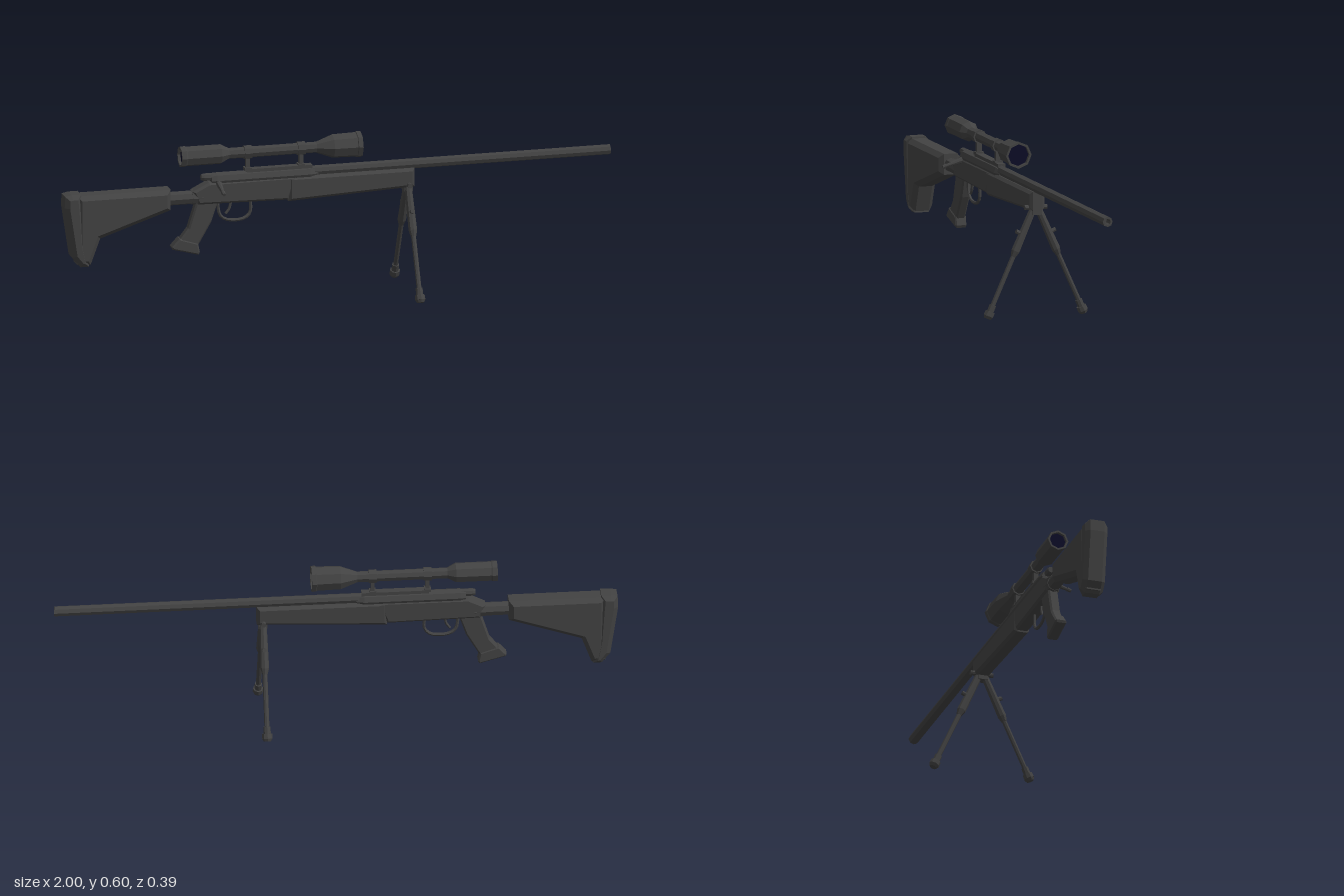
import * as THREE from 'three';

const V = (x, y, z = 0) => new THREE.Vector3(x, y, z);

export function createModel() {
  const model = new THREE.Group();
  const grey = new THREE.MeshStandardMaterial({ color: 0x424242 });
  grey.name = 'dark grey';
  const glass = new THREE.MeshStandardMaterial({ color: 0x0b0b26 });
  glass.name = 'navy glass';

  // Every part is faceted, so normals are baked per face
  function add(name, geometry, material = grey, parent = model) {
    const flat = geometry.index ? geometry.toNonIndexed() : geometry;
    flat.computeVertexNormals();
    const mesh = new THREE.Mesh(flat, material);
    mesh.name = name;
    parent.add(mesh);
    return mesh;
  }

  // Tapered bar between two points
  function rod(name, a, b, ra, rb = ra, sides = 8, parent = model) {
    const dir = b.clone().sub(a);
    const g = new THREE.CylinderGeometry(rb, ra, dir.length(), sides);
    const mesh = add(name, g, grey, parent);
    mesh.position.copy(a).add(b).multiplyScalar(0.5);
    mesh.quaternion.setFromUnitVectors(V(0, 1, 0), dir.normalize());
    return mesh;
  }

  function box(name, x0, x1, y0, y1, halfZ) {
    const g = new THREE.BoxGeometry(x1 - x0, y1 - y0, halfZ * 2);
    return add(name, g).position.set((x0 + x1) / 2, (y0 + y1) / 2, 0);
  }

  // Octagonal turned part lying along x; points are [x, radius]
  function turned(name, points, y, material = grey) {
    const g = new THREE.LatheGeometry(points.map(([x, r]) => new THREE.Vector2(r, x)), 8);
    g.rotateZ(-Math.PI / 2);
    return add(name, g, material).position.set(0, y, 0);
  }

  // Side profile given thickness across z, with chamfered edges
  function slab(name, points, halfZ, bevel) {
    const shape = new THREE.Shape(points.map(([x, y]) => new THREE.Vector2(x, y)));
    const g = new THREE.ExtrudeGeometry(shape, {
      depth: 2 * (halfZ - bevel), bevelEnabled: true, bevelSegments: 1,
      bevelSize: bevel, bevelThickness: bevel, bevelOffset: -bevel,
    });
    g.translate(0, 0, bevel - halfZ);
    return add(name, g);
  }

  // Shoulder stock, recoil pad and connecting tube
  slab('shoulderStock', [[-0.955, 0.441], [-0.955, 0.19], [-0.905, 0.186], [-0.87, 0.28],
    [-0.612, 0.366], [-0.612, 0.441]], 0.041, 0.016);
  slab('recoilPad', [[-0.998, 0.442], [-1, 0.4], [-0.972, 0.217], [-0.942, 0.18],
    [-0.91, 0.18], [-0.925, 0.26], [-0.935, 0.4], [-0.94, 0.447], [-0.975, 0.447]], 0.042, 0.016);
  turned('stockTube', [[-0.63, 0], [-0.63, 0.025], [-0.53, 0.025], [-0.53, 0.027],
    [-0.49, 0.027], [-0.49, 0]], 0.401);

  // Fore-end and receiver housing
  slab('receiverHousing', [[-0.53, 0.425], [-0.51, 0.377], [-0.18, 0.372], [-0.15, 0.455],
    [-0.47, 0.455]], 0.026, 0.008);
  slab('foreEnd', [[-0.18, 0.455], [-0.18, 0.366], [0.282, 0.387], [0.282, 0.455]], 0.028, 0.01);

  // Pistol grip with flared base
  slab('grip', [[-0.515, 0.385], [-0.545, 0.29], [-0.58, 0.245], [-0.515, 0.215],
    [-0.46, 0.31], [-0.435, 0.385]], 0.018, 0.006);
  slab('gripBase', [[-0.577, 0.256], [-0.605, 0.226], [-0.602, 0.217], [-0.508, 0.192],
    [-0.503, 0.202], [-0.51, 0.235]], 0.021, 0.005);

  // Trigger and guard
  const guard = new THREE.CatmullRomCurve3([V(-0.435, 0.38), V(-0.425, 0.328), V(-0.4, 0.31),
    V(-0.34, 0.31), V(-0.316, 0.33), V(-0.314, 0.38)]);
  add('triggerGuard', new THREE.TubeGeometry(guard, 16, 0.006, 6));
  const trigger = new THREE.CatmullRomCurve3([V(-0.385, 0.38), V(-0.392, 0.35), V(-0.405, 0.332)]);
  add('trigger', new THREE.TubeGeometry(trigger, 6, 0.005, 6));

  // Receiver, bolt and barrel
  turned('receiver', [[-0.46, 0], [-0.46, 0.022], [-0.44, 0.026], [-0.1, 0.026],
    [-0.07, 0.018], [-0.07, 0]], 0.46);
  turned('boltCap', [[-0.495, 0], [-0.495, 0.011], [-0.485, 0.014], [-0.43, 0.014], [-0.43, 0]], 0.471);
  rod('boltHandle', V(-0.435, 0.452, 0.015), V(-0.435, 0.431, 0.085), 0.012, 0.005);
  rod('boltKnob', V(-0.435, 0.433, 0.08), V(-0.435, 0.428, 0.095), 0.008, 0.006);
  turned('barrel', [[-0.1, 0.0185], [1, 0.0185], [1, 0.011], [0.96, 0.011], [0.96, 0]], 0.467);

  // Scope on its rail
  box('scopeRail', -0.33, -0.09, 0.472, 0.492, 0.014);
  const scopeY = 0.552;
  turned('scopeBody', [[-0.562, 0.03], [-0.572, 0.031], [-0.572, 0.038], [-0.555, 0.038],
    [-0.55, 0.036], [-0.425, 0.036], [-0.395, 0.02], [-0.075, 0.02], [-0.015, 0.043],
    [0.07, 0.045], [0.072, 0.048], [0.088, 0.048], [0.088, 0.04], [0.076, 0.039]], scopeY);
  turned('frontLens', [[0.078, 0.04], [0.078, 0]], scopeY, glass);
  turned('rearLens', [[-0.562, 0], [-0.562, 0.031]], scopeY, glass);
  for (const x of [-0.325, -0.13]) {
    turned('scopeRing', [[x - 0.014, 0.019], [x - 0.014, 0.025], [x + 0.014, 0.025],
      [x + 0.014, 0.019]], scopeY);
    box('scopePost', x - 0.007, x + 0.007, 0.488, 0.532, 0.009);
    box('scopeFoot', x - 0.012, x + 0.012, 0.486, 0.497, 0.015);
  }

  // Folding bipod
  const bx = 0.26;
  box('bipodBracket', bx - 0.016, bx + 0.016, 0.37, 0.4, 0.018);
  rod('bipodPin', V(bx, 0.396, -0.042), V(bx, 0.396, 0.042), 0.009);
  for (const s of [1, -1]) {
    const leg = new THREE.Group();
    leg.name = s > 0 ? 'frontSideLeg' : 'backSideLeg';
    model.add(leg);
    const p = (z, y) => V(bx, y, s * z);
    const part = (name, a, b, ra, rb) => rod(name, a, b, ra, rb, 8, leg);
    part('upperLeg', p(0.012, 0.385), p(0.076, 0.243), 0.013, 0.016);
    part('legCollar', p(0.076, 0.243), p(0.085, 0.223), 0.016, 0.01);
    part('lowerLeg', p(0.083, 0.227), p(0.166, 0.043), 0.009);
    part('ankle', p(0.161, 0.054), p(0.172, 0.028), 0.013);
    part('foot', p(0.171, 0.031), p(0.178, 0.0155), 0.018, 0.019);
    part('footTip', p(0.178, 0.0155), p(0.182, 0.006), 0.019, 0.013);
    part('legKnob', p(0.045, 0.3), p(0.074, 0.313), 0.008);
  }

  return model;
}
